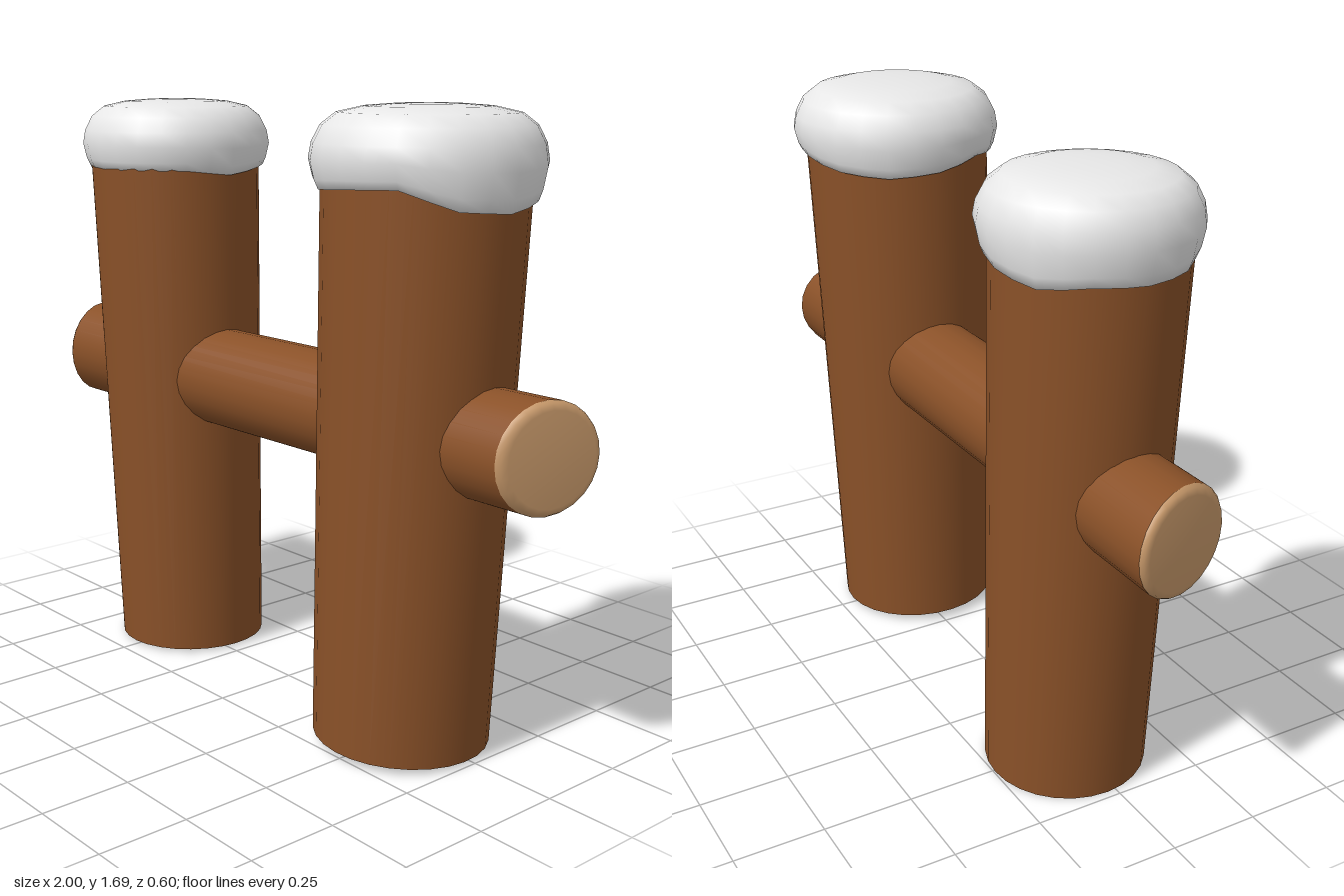
import * as THREE from 'three';
import { mergeVertices } from 'three/addons/utils/BufferGeometryUtils.js';

const bark = new THREE.MeshStandardMaterial({ color: 0x8a5128, side: THREE.DoubleSide });
bark.name = 'bark brown';
const cutWood = new THREE.MeshStandardMaterial({ color: 0xc99a6b });
cutWood.name = 'cut wood tan';
const snow = new THREE.MeshStandardMaterial({ color: 0xf2f2f2 });
snow.name = 'snow white';

// Move every vertex by a rule, then weld seams and smooth the normals
function reshape(geometry, rule) {
  const pos = geometry.attributes.position;
  const v = new THREE.Vector3();
  for (let i = 0; i < pos.count; i++) {
    rule(v.fromBufferAttribute(pos, i));
    pos.setXYZ(i, v.x, v.y, v.z);
  }
  geometry.deleteAttribute('uv');
  geometry.deleteAttribute('normal');
  const welded = mergeVertices(geometry, 1e-4);
  welded.computeVertexNormals();
  return welded;
}

function part(name, geometry, material) {
  const mesh = new THREE.Mesh(geometry, material);
  mesh.name = name;
  return mesh;
}

// Hollow post, leaning and widening toward the top, with a slanted foot
function postGeometry({ bottom, top, foot }) {
  return reshape(new THREE.CylinderGeometry(1, 1, 1, 28, 1, true), (v) => {
    const isTop = v.y > 0;
    const [cx, cz, r] = isTop ? top : bottom;
    v.x = cx + v.x * r;
    v.z = cz + v.z * r;
    v.y = isTop ? 1.56 : foot[0] + foot[1] * (v.x - cx) + foot[2] * (v.z - cz);
  });
}

// Pillow of snow; rim heights run round from +x through +z
function snowGeometry({ snowCentre, snowRadius, snowTop, rim }) {
  const profile = [
    [0.86, 0.02], [0.93, 0], [0.965, 0.12], [1, 0.36], [0.975, 0.58], [0.9, 0.77],
    [0.77, 0.9], [0.55, 0.965], [0.3, 0.99], [0, 1],
  ].map(([r, y]) => new THREE.Vector2(r, y));
  return reshape(new THREE.LatheGeometry(profile, 24), (v) => {
    const turn = ((Math.atan2(v.z, v.x) / (2 * Math.PI) + 1) % 1) * rim.length;
    const i = Math.floor(turn) % rim.length;
    const edge = THREE.MathUtils.lerp(rim[i], rim[(i + 1) % rim.length], turn - Math.floor(turn));
    // The wave fades out above the widest ring
    const wave = (edge - 1.46) * Math.max(0, 1 - v.y / 0.6);
    v.set(
      snowCentre[0] + v.x * snowRadius,
      1.46 + v.y * (snowTop - 1.46) + wave,
      snowCentre[1] + v.z * snowRadius,
    );
  });
}

// Crossbar ends are cut at a slant, both turned a little to the front
const barRadius = 0.145, barHalf = 0.95, barY = 0.865, slant = 0.26;
const shear = (v) => { v.x -= Math.sign(v.x) * slant * v.z; };

function crossbar() {
  const group = new THREE.Group();
  group.name = 'crossbar';
  const log = new THREE.CylinderGeometry(barRadius, barRadius, barHalf * 2, 24, 1, true);
  log.rotateZ(-Math.PI / 2);
  group.add(part('crossbarLog', reshape(log, shear), bark));

  const profile = [[barRadius, 0], [0.138, 0.011], [0.122, 0.017], [0, 0.02]]
    .map(([r, y]) => new THREE.Vector2(r, y));
  for (const side of [-1, 1]) {
    const end = new THREE.LatheGeometry(profile, 24);
    end.rotateZ(-side * Math.PI / 2);
    end.translate(side * barHalf, 0, 0);
    group.add(part(side > 0 ? 'leftCutEnd' : 'rightCutEnd', reshape(end, shear), cutWood));
  }
  group.position.y = barY;
  return group;
}

// Post ends are [x, z, radius]; foot is [height, slope in x, slope in z]
const posts = [
  {
    name: 'right',
    bottom: [-0.508, -0.025, 0.222], top: [-0.532, 0, 0.253], foot: [0.007, 0.015, 0.012],
    snowCentre: [-0.535, -0.01], snowRadius: 0.28, snowTop: 1.68,
    rim: [1.465, 1.48, 1.48, 1.48, 1.485, 1.455, 1.45, 1.455, 1.44, 1.46, 1.49, 1.48],
  },
  {
    name: 'left',
    bottom: [0.503, 0.03, 0.238], top: [0.533, 0, 0.268], foot: [0.02, -0.03, 0.03],
    snowCentre: [0.535, 0], snowRadius: 0.3, snowTop: 1.69,
    rim: [1.435, 1.445, 1.495, 1.49, 1.48, 1.495, 1.47, 1.46, 1.47, 1.49, 1.5, 1.455],
  },
];

export function createModel() {
  const model = new THREE.Group();
  model.name = 'snowyFence';
  for (const p of posts) {
    model.add(part(p.name + 'Post', postGeometry(p), bark));
    model.add(part(p.name + 'SnowCap', snowGeometry(p), snow));
  }
  model.add(crossbar());
  return model;
}
